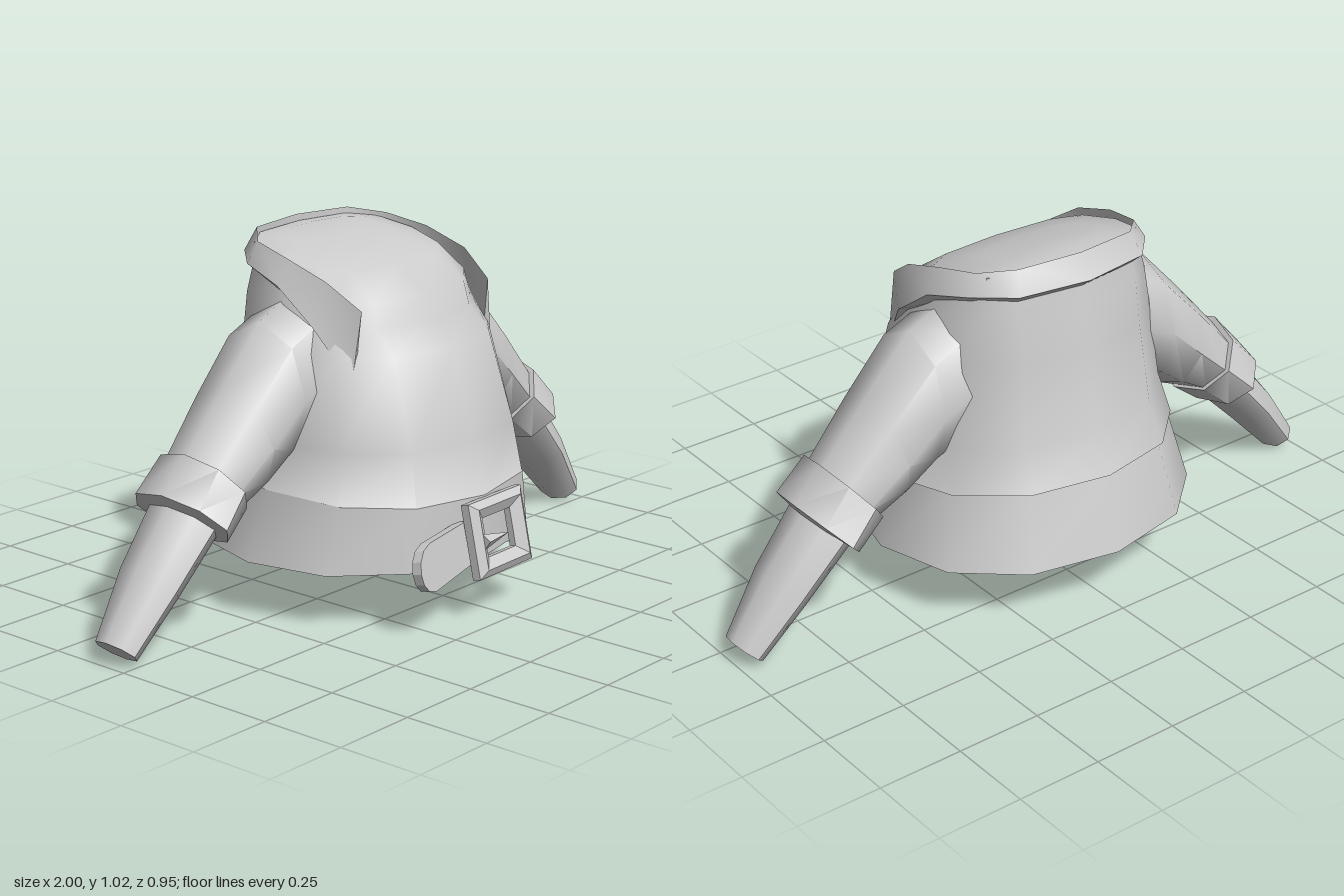
import * as THREE from 'three';
import { toCreasedNormals } from 'three/addons/utils/BufferGeometryUtils.js';

const grey = new THREE.MeshStandardMaterial({ color: 0xcccccc, side: THREE.DoubleSide });
const faceted = new THREE.MeshStandardMaterial({ color: 0xcccccc, flatShading: true });

// Skin a list of closed rings (arrays of Vector3), with optional end caps
function loft(name, rings, { start = false, end = false, crease = 0.9 } = {}) {
  const n = rings[0].length, pos = [], index = [];
  rings.forEach(r => r.forEach(p => pos.push(p.x, p.y, p.z)));
  for (let i = 0; i < rings.length - 1; i++) {
    for (let j = 0; j < n; j++) {
      const a = i * n + j, b = i * n + (j + 1) % n;
      index.push(a, b, b + n, a, b + n, a + n);
    }
  }
  const cap = (k, flip) => {
    const c = new THREE.Vector3();
    rings[k].forEach(p => c.addScaledVector(p, 1 / n));
    const m = pos.length / 3;
    pos.push(c.x, c.y, c.z);
    for (let j = 0; j < n; j++) {
      const a = k * n + j, b = k * n + (j + 1) % n;
      if (flip) index.push(m, b, a); else index.push(m, a, b);
    }
  };
  if (start) cap(0, true);
  if (end) cap(rings.length - 1, false);
  const g = new THREE.BufferGeometry();
  g.setAttribute('position', new THREE.Float32BufferAttribute(pos, 3));
  g.setIndex(index);
  const mesh = new THREE.Mesh(toCreasedNormals(g, crease), grey);
  mesh.name = name;
  return mesh;
}

// Tilted body ring: back z,y / front z,y / half width / roundness (1 = ellipse)
function bodyRing([bz, by, fz, fy, w, e]) {
  const soft = v => Math.sign(v) * Math.abs(v) ** e;
  return Array.from({ length: 12 }, (_, j) => {
    const a = j / 12 * Math.PI * 2, t = (soft(Math.cos(a)) + 1) / 2;
    return new THREE.Vector3(w * soft(Math.sin(a)), by + (fy - by) * t, bz + (fz - bz) * t);
  });
}

// Sleeve ring from its top and bottom points in the front plane and half depth
function armRing([tx, ty, bx, by, rz], s) {
  return Array.from({ length: 8 }, (_, j) => {
    const a = j / 8 * Math.PI * 2, c = Math.cos(a);
    return new THREE.Vector3(
      s * ((tx + bx) / 2 + (tx - bx) / 2 * c),
      (ty + by) / 2 + (ty - by) / 2 * c,
      -0.065 + s * rz * Math.sin(a));
  });
}

function addSleeve(group, s) {
  const side = s > 0 ? 'left' : 'right';
  const rings = list => list.map(r => armRing(r, s));
  group.add(loft(side + 'Sleeve', rings([
    [0.27, 0.88, 0.30, 0.46, 0.16], [0.40, 0.82, 0.40, 0.42, 0.165],
    [0.55, 0.66, 0.48, 0.37, 0.155], [0.70, 0.49, 0.57, 0.33, 0.135],
  ])));
  group.add(loft(side + 'Cuff', rings([
    [0.68, 0.49, 0.565, 0.345, 0.13], [0.70, 0.515, 0.55, 0.33, 0.152],
    [0.785, 0.42, 0.64, 0.262, 0.168], [0.765, 0.385, 0.65, 0.277, 0.117],
  ]), { crease: 0.8 }));
  group.add(loft(side + 'Forearm', rings([
    [0.74, 0.41, 0.63, 0.30, 0.118], [0.765, 0.385, 0.65, 0.277, 0.117],
    [0.885, 0.24, 0.79, 0.14, 0.103], [1.0, 0.07, 0.925, 0.003, 0.07],
  ]), { end: true }));
}

// Folded collar: upper edge, outer lower edge and underside at each station
function collar() {
  const half = [
    [0.27, 0.86, 0.185, 0.30, 0.665, 0.175, 0.275, 0.67, 0.165],
    [0.295, 0.93, 0.08, 0.338, 0.81, 0.07, 0.31, 0.80, 0.07],
    [0.295, 0.975, -0.06, 0.335, 0.905, -0.06, 0.30, 0.875, -0.06],
    [0.27, 1.0, -0.19, 0.305, 0.943, -0.20, 0.27, 0.91, -0.18],
    [0.19, 1.018, -0.27, 0.21, 0.952, -0.30, 0.19, 0.918, -0.265],
    [0, 1.022, -0.295, 0, 0.955, -0.337, 0, 0.922, -0.295],
  ];
  const mirrored = half.slice(0, -1).reverse().map(r => r.map((v, i) => i % 3 ? v : -v));
  const rings = [...half, ...mirrored].map(r =>
    [0, 3, 6].map(i => new THREE.Vector3(r[i], r[i + 1], r[i + 2])));
  return loft('collar', rings, { start: true, end: true });
}

function beltBuckle() {
  const g = new THREE.Group();
  g.name = 'buckle';
  // Bevelled square frame
  const q = Math.SQRT2;
  const profile = [[0.065, -0.02], [0.125, -0.02], [0.125, 0.005], [0.1, 0.02], [0.065, 0], [0.065, -0.02]]
    .map(([r, y]) => new THREE.Vector2(r * q, y));
  const frame = new THREE.Mesh(
    new THREE.LatheGeometry(profile, 4, Math.PI / 4).rotateX(Math.PI / 2).scale(1, 0.84, 1), faceted);
  frame.name = 'buckleFrame';
  // Pointed prong
  const prong = new THREE.Mesh(
    new THREE.ConeGeometry(0.022, 0.12, 4).rotateZ(-Math.PI / 2), faceted);
  prong.name = 'buckleProng';
  prong.position.set(-0.04, -0.005, 0.018);
  g.add(frame, prong);
  g.position.set(0.02, 0.225, 0.432);
  g.rotation.set(-0.22, 0.06, 0);
  return g;
}

function beltStrap() {
  const s = new THREE.Shape();
  s.moveTo(0.13, 0.06);
  s.lineTo(-0.06, 0.045);
  s.bezierCurveTo(-0.14, 0.035, -0.14, -0.09, -0.06, -0.087);
  s.lineTo(0.13, -0.06);
  const geo = new THREE.ExtrudeGeometry(s, { depth: 0.028, bevelEnabled: false, curveSegments: 6 });
  const strap = new THREE.Mesh(geo, faceted);
  strap.name = 'strapEnd';
  strap.position.set(-0.215, 0.213, 0.398);
  strap.rotation.set(-0.2, 0.13, 0);
  return strap;
}

export function createModel() {
  const group = new THREE.Group();
  group.name = 'jacket';
  // Flared skirt with closed underside
  group.add(loft('skirt', [
    [-0.475, 0.175, 0.40, 0.155, 0.49, 0.92],
    [-0.408, 0.40, 0.397, 0.33, 0.44, 0.92],
  ].map(bodyRing), { start: true }));
  // Upper body, overhanging the skirt at the back and closed over the neck
  group.add(loft('body', [
    [-0.408, 0.395, 0.397, 0.33, 0.44, 0.92],
    [-0.433, 0.40, 0.397, 0.33, 0.44, 0.92],
    [-0.38, 0.51, 0.365, 0.48, 0.41, 0.9],
    [-0.34, 0.75, 0.28, 0.73, 0.365, 0.85],
    [-0.31, 0.88, 0.20, 0.79, 0.325, 0.7],
    [-0.295, 0.95, 0.183, 0.86, 0.30, 0.65],
    [-0.285, 1.005, 0.08, 0.93, 0.28, 0.65],
    [-0.23, 1.01, -0.03, 0.968, 0.18, 0.7],
  ].map(bodyRing), { end: true, crease: 1.2 }));
  group.add(collar());
  for (const s of [1, -1]) addSleeve(group, s);
  group.add(beltBuckle(), beltStrap());
  return group;
}
